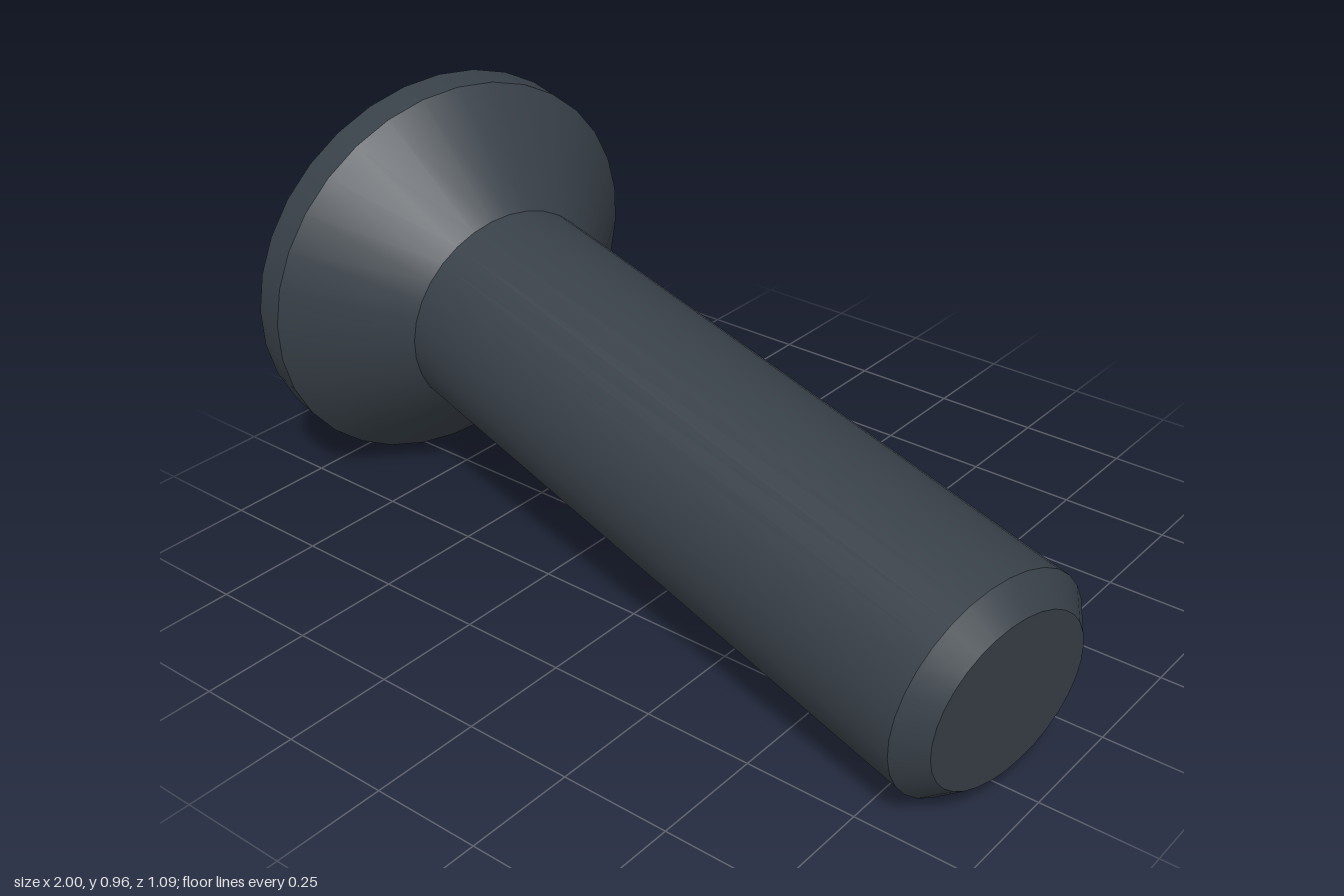
import * as THREE from 'three';

const SIDES = 32;
const HEAD_R = 0.478, SHAFT_R = 0.252, TIP_R = 0.198;
// distances along the screw, measured from the drive face
const RIM = 0.078, NECK = 0.292, CHAMFER = 1.839, LENGTH = 1.893;
const RECESS_DEPTH = 0.22;

// twelve-point cross outline, counter-clockwise
function crossPoints(reach, half) {
  const points = [];
  for (let i = 0; i < 4; i++) {
    const turn = i * Math.PI / 2;
    for (const [x, y] of [[reach, -half], [reach, half], [half, half]]) {
      points.push(new THREE.Vector2(x, y).rotateAround(new THREE.Vector2(), turn));
    }
  }
  return points;
}

// inward-facing walls between two cross outlines
function recessWalls(top, bottom, depth) {
  const positions = [];
  top.forEach((a, i) => {
    const j = (i + 1) % top.length;
    const b = top[j], c = bottom[j], d = bottom[i];
    positions.push(a.x, a.y, 0, b.x, b.y, 0, c.x, c.y, -depth);
    positions.push(a.x, a.y, 0, c.x, c.y, -depth, d.x, d.y, -depth);
  });
  const geometry = new THREE.BufferGeometry();
  geometry.setAttribute('position', new THREE.Float32BufferAttribute(positions, 3));
  geometry.computeVertexNormals();
  return geometry;
}

export function createModel() {
  const model = new THREE.Group();
  model.name = 'countersunkScrew';
  const steel = new THREE.MeshStandardMaterial({ color: 0x384048 });
  steel.name = 'dark steel';

  const screw = new THREE.Group();
  screw.name = 'screw';
  model.add(screw);

  const add = (name, geometry) => {
    const mesh = new THREE.Mesh(geometry, steel);
    mesh.name = name;
    screw.add(mesh);
    return mesh;
  };

  // turned bands, one per profile segment so that edges stay sharp
  const bands = [
    ['headRim', HEAD_R, 0, HEAD_R, RIM],
    ['headCone', HEAD_R, RIM, SHAFT_R, NECK],
    ['shaft', SHAFT_R, NECK, SHAFT_R, CHAMFER],
    ['tipChamfer', SHAFT_R, CHAMFER, TIP_R, LENGTH],
    ['tipFace', TIP_R, LENGTH, 0, LENGTH],
  ];
  for (const [name, r0, y0, r1, y1] of bands) {
    const profile = [new THREE.Vector2(r0, y0), new THREE.Vector2(r1, y1)];
    add(name, new THREE.LatheGeometry(profile, SIDES).rotateX(-Math.PI / 2));
  }

  // drive face with a tapered cross recess
  const roll = THREE.MathUtils.degToRad(4);
  const mouth = crossPoints(0.252, 0.07);
  const base = crossPoints(0.12, 0.05);
  for (const p of [...mouth, ...base]) p.rotateAround(new THREE.Vector2(), roll);

  const outline = [];
  for (let i = 0; i < SIDES; i++) {
    const a = i / SIDES * Math.PI * 2;
    outline.push(new THREE.Vector2(Math.cos(a) * HEAD_R, Math.sin(a) * HEAD_R));
  }
  const face = new THREE.Shape(outline);
  face.holes.push(new THREE.Path(mouth));
  add('driveFace', new THREE.ShapeGeometry(face));
  add('recessWalls', recessWalls(mouth, base, RECESS_DEPTH));
  add('recessFloor', new THREE.ShapeGeometry(new THREE.Shape(base))).position.z = -RECESS_DEPTH;

  // lay the screw along its slanted axis
  const axis = new THREE.Vector3(1, -0.127, 0.213).normalize();
  const out = axis.clone().negate();
  const side = new THREE.Vector3(0, 1, 0).cross(out).normalize();
  const up = out.clone().cross(side);
  screw.quaternion.setFromRotationMatrix(new THREE.Matrix4().makeBasis(side, up, out));
  screw.position.set(-0.885, 0.481, -0.078);
  return model;
}
